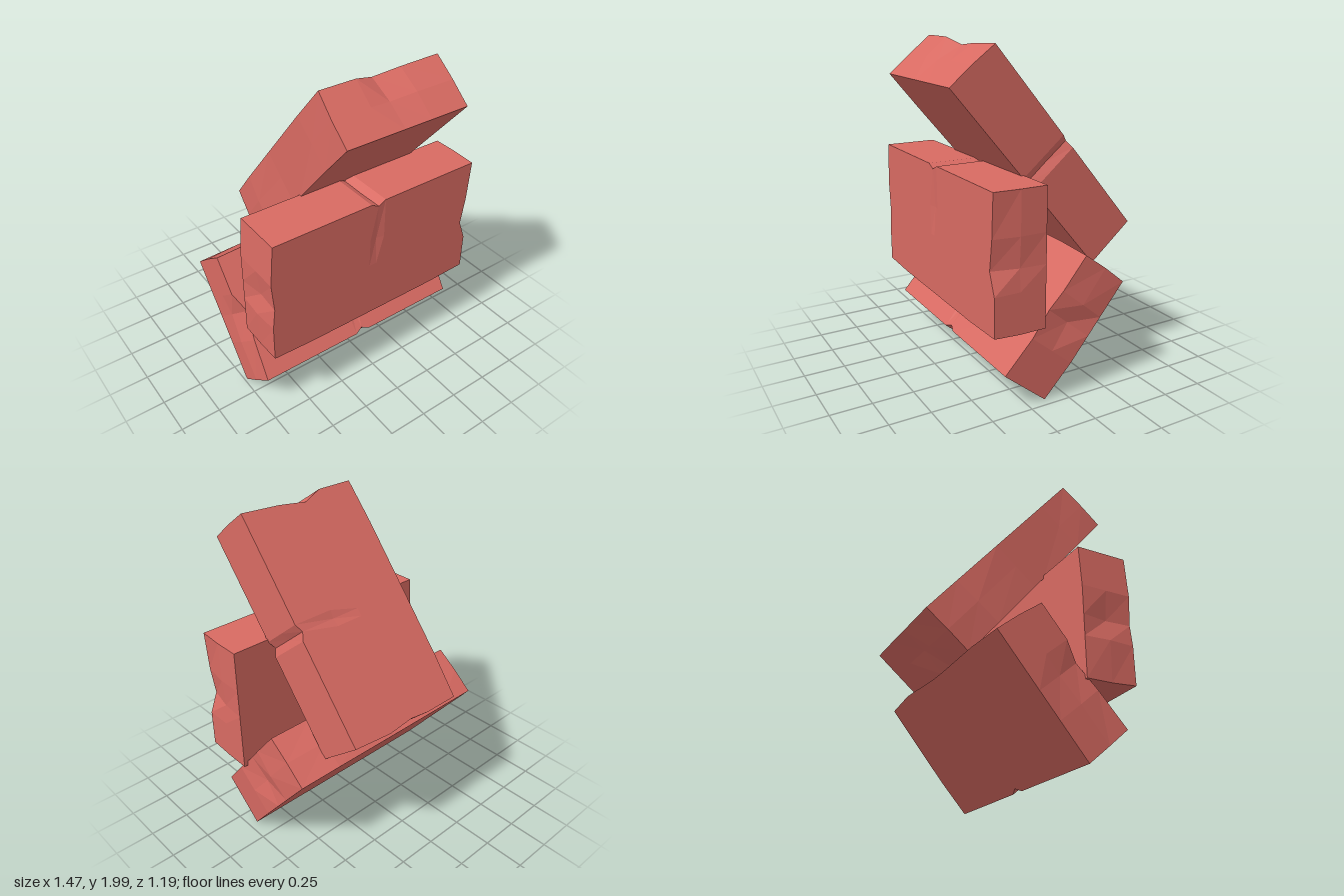
import * as THREE from 'three';

// Uneven grid lines of the block along its length, width and thickness
const CUTS = [
  [-0.722, -0.45, -0.05, 0, 0.05, 0.45, 0.73],
  [-0.405, -0.16, -0.03, 0.15, 0.405],
  [-0.16, 0, 0.16],
];

// Chips and worn spots: grid indices [i, j, k], then the offset
const CHIPS = [
  // notch across the long side
  [3, 4, 0, 0, -0.028, 0], [3, 4, 1, 0, -0.03, 0], [3, 4, 2, 0, -0.025, 0],
  // chipped edge of one end
  [6, 2, 2, -0.05, 0, 0], [6, 3, 2, -0.025, 0, 0], [6, 2, 1, -0.012, 0, 0], [6, 4, 2, -0.01, 0, 0],
  // worn opposite end
  [0, 4, 0, 0.02, 0, 0], [0, 4, 1, 0.02, 0, 0], [0, 4, 2, 0.02, 0, 0],
  [0, 2, 1, 0.025, 0, 0], [0, 2, 2, 0.015, 0, 0], [0, 1, 1, -0.01, 0, 0],
  // uneven lower side and a shallow hollow in the face
  [0, 0, 2, 0, 0.01, 0], [6, 0, 2, 0, 0.01, 0], [1, 0, 0, 0, -0.02, 0],
  [1, 0, 1, 0, -0.015, 0], [5, 0, 0, 0, -0.008, 0], [3, 3, 2, 0, 0, -0.01],
];

function chippedBlock() {
  const n = CUTS.map((c) => c.length - 1);
  const geo = new THREE.BoxGeometry(1, 1, 1, ...n);
  const pos = geo.attributes.position;
  for (let v = 0; v < pos.count; v++) {
    const idx = [pos.getX(v), pos.getY(v), pos.getZ(v)].map((p, a) => Math.round((p + 0.5) * n[a]));
    const p = idx.map((i, a) => CUTS[a][i]);
    for (const [i, j, k, ...d] of CHIPS) {
      if (i === idx[0] && j === idx[1] && k === idx[2]) d.forEach((o, a) => { p[a] += o; });
    }
    pos.setXYZ(v, ...p);
  }
  const flat = geo.toNonIndexed();
  flat.computeVertexNormals();
  return flat;
}

export function createModel() {
  const model = new THREE.Group();
  model.name = 'brickPile';
  const clay = new THREE.MeshStandardMaterial({ color: 0xd86a62, flatShading: true });
  clay.name = 'red clay';
  const base = chippedBlock();

  // Same block, turned about x, z, then tilted about x
  const addBrick = (name, flip, turn, tilt, x, y, z, thick = 1) => {
    const geo = base.clone().scale(1, 1, thick).rotateX(flip).rotateZ(turn).rotateX(tilt).translate(x, y, z);
    const mesh = new THREE.Mesh(geo, clay);
    mesh.name = name;
    model.add(mesh);
  };
  addBrick('uprightBrick', 0, 0, 0, 0.005, 0.877, 0.32);
  addBrick('lowerTiltedBrick', 0, Math.PI, -0.69, -0.005, 0.427, 0.005, 1.05);
  addBrick('upperLeaningBrick', Math.PI, Math.PI / 2, 0.7, 0.09, 1.335, 0, 1.06);
  return model;
}
